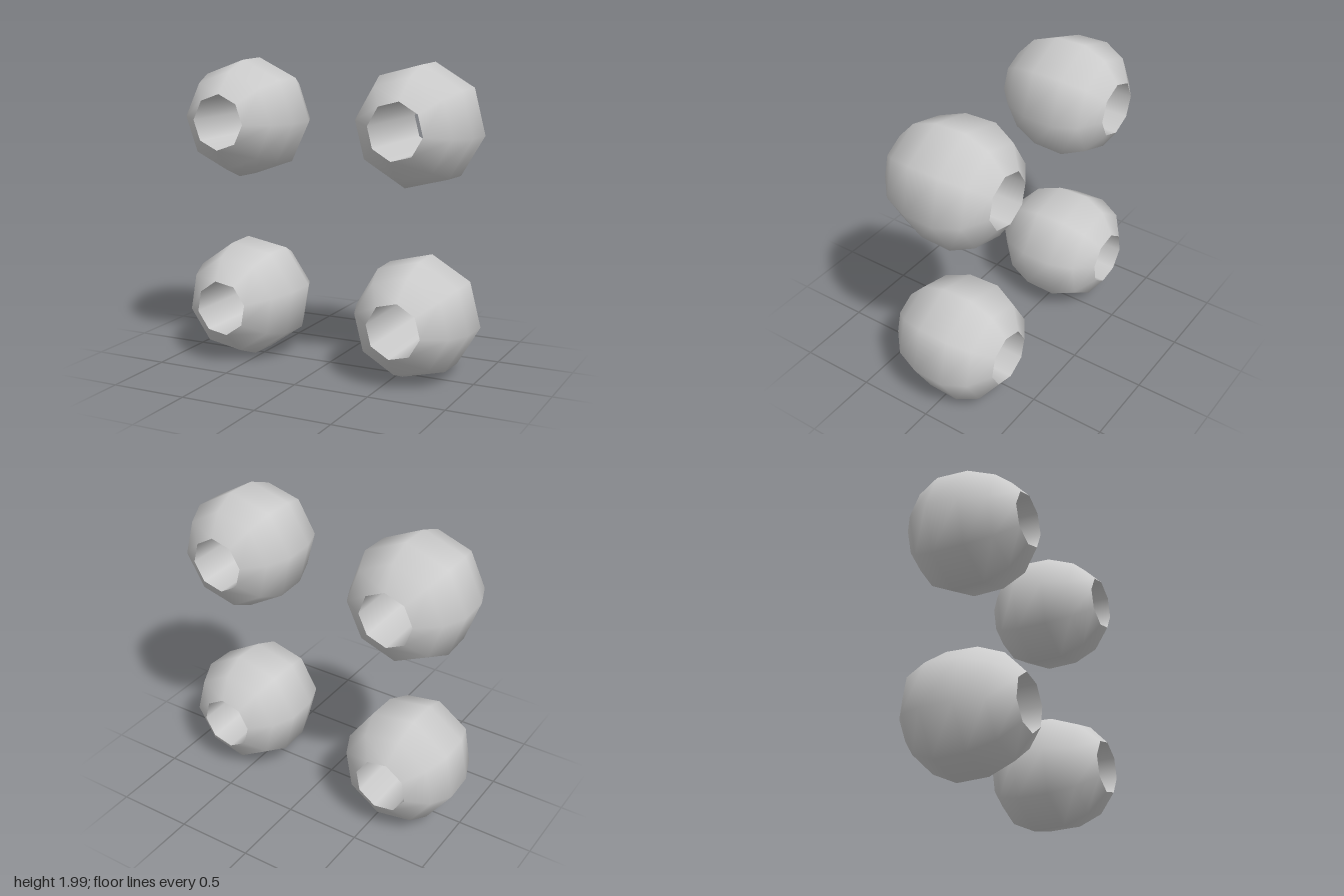
import * as THREE from 'three';

const SIDES = 8;

// Lathe around z from [radius, z] pairs; ascending z faces outward, descending faces inward.
function turned(profile) {
  const points = profile.map(([r, z]) => new THREE.Vector2(r, z));
  return new THREE.LatheGeometry(points, SIDES).rotateX(Math.PI / 2);
}

export function createModel() {
  const model = new THREE.Group();
  model.name = 'beads';

  const grey = new THREE.MeshStandardMaterial({ color: 0xcccccc });
  grey.name = 'light grey';

  // Rounded outside and the straight hole through it
  const shellGeometry = turned([
    [0.18, -0.375], [0.32, -0.28], [0.391, -0.13],
    [0.384, 0.08], [0.317, 0.25], [0.18, 0.375],
  ]);
  const holeGeometry = turned([[0.18, 0.375], [0.18, -0.375]]);

  // Each bead: x, y, twist in degrees
  const beads = [
    ['upperRightBead', -0.608, 1.609, -3],
    ['upperLeftBead', 0.607, 1.609, -8],
    ['lowerRightBead', -0.608, 0.395, 12.5],
    ['lowerLeftBead', 0.607, 0.395, -8],
  ];
  for (const [name, x, y, twist] of beads) {
    const bead = new THREE.Group();
    bead.name = name;
    const shell = new THREE.Mesh(shellGeometry, grey);
    shell.name = 'shell';
    const hole = new THREE.Mesh(holeGeometry, grey);
    hole.name = 'holeWall';
    bead.add(shell, hole);
    bead.position.set(x, y, 0);
    bead.rotation.z = THREE.MathUtils.degToRad(twist);
    model.add(bead);
  }
  return model;
}
